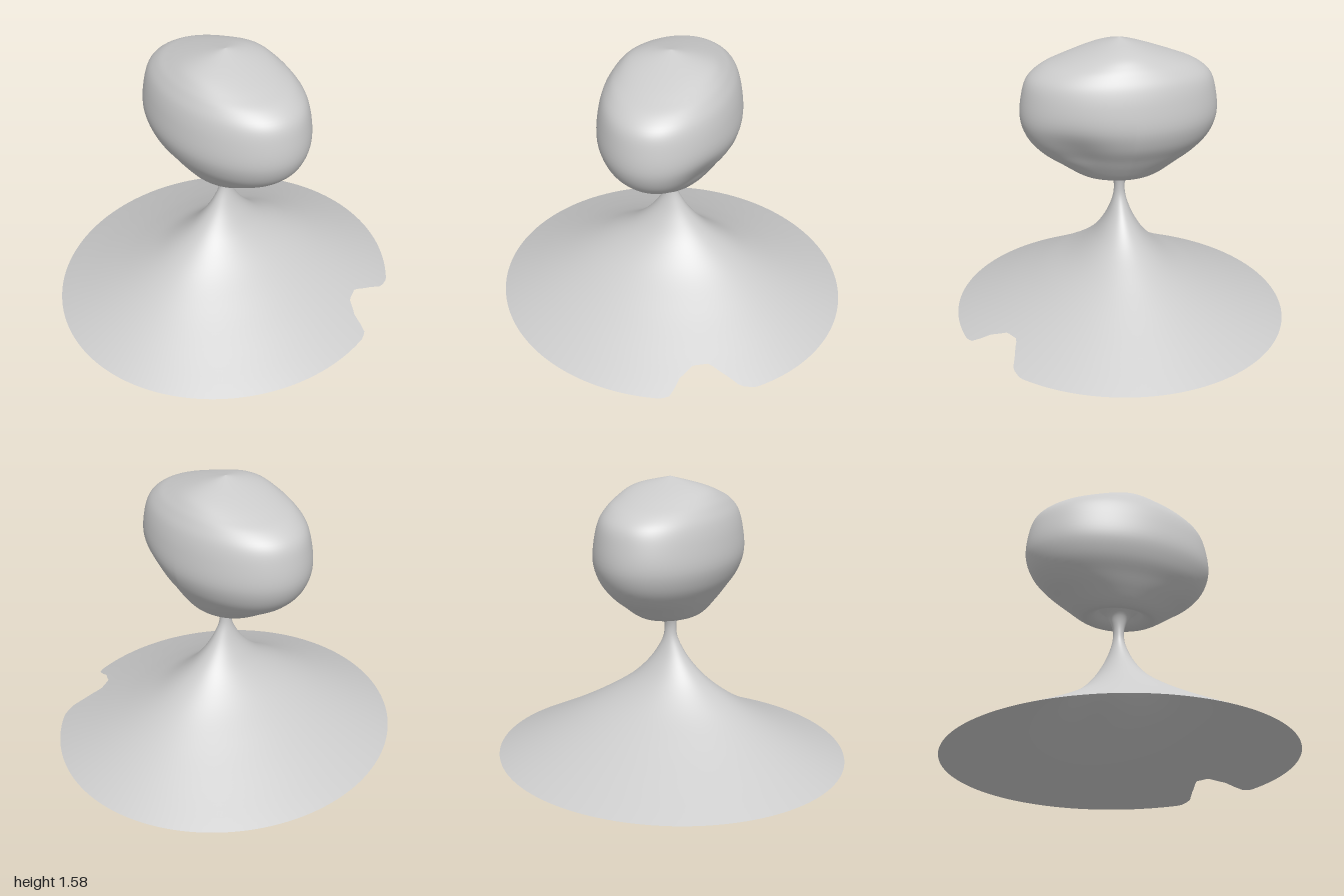
import * as THREE from 'three';

const SEG = 240;
const material = new THREE.MeshStandardMaterial({ color: 0xcccccc, side: THREE.DoubleSide });

// Smooth surface through elliptical rings [y, radiusX, radiusZ], listed bottom to top.
// warp(angle, point, t) may move each vertex.
function loft(name, rings, steps, warp) {
  const curve = new THREE.CatmullRomCurve3(
    rings.map(([y, rx, rz]) => new THREE.Vector3(rx, y, rz)), false, 'centripetal');
  const positions = [], index = [], p = new THREE.Vector3();
  for (let i = 0; i <= steps; i++) {
    for (let j = 0; j < SEG; j++) {
      const a = (j / SEG) * Math.PI * 2;
      const ring = curve.getPoint(i / steps);
      p.set(ring.x * Math.cos(a), ring.y, ring.z * Math.sin(a));
      warp(a, p, i / steps, curve);
      positions.push(p.x, p.y, p.z);
      if (i < steps) {
        const k = (j + 1) % SEG, b = i * SEG, t = b + SEG;
        index.push(b + j, t + j, b + k, b + k, t + j, t + k);
      }
    }
  }
  const geometry = new THREE.BufferGeometry();
  geometry.setAttribute('position', new THREE.Float32BufferAttribute(positions, 3));
  geometry.setIndex(index);
  geometry.computeVertexNormals();
  const mesh = new THREE.Mesh(geometry, material);
  mesh.name = name;
  return mesh;
}

// Bite out of the rim: [angle in degrees, remaining fraction of the radius]
const BITE = [[46, 1], [50.5, 0.975], [53.5, 0.924], [59.5, 0.848], [65.7, 0.85], [70.8, 0.911], [73, 0.985], [76, 1]];
function rimLimit(angle) {
  const d = THREE.MathUtils.radToDeg(angle);
  for (let i = 1; i < BITE.length; i++) {
    const [a0, r0] = BITE[i - 1], [a1, r1] = BITE[i];
    if (d >= a0 && d <= a1) return THREE.MathUtils.lerp(r0, r1, (d - a0) / (a1 - a0));
  }
  return 1;
}

export function createModel() {
  const group = new THREE.Group();
  group.name = 'stand';

  // Hollow flared foot running up into the thin neck
  const foot = [
    [0, 1, 0.93], [0.1, 0.8, 0.7], [0.21, 0.59, 0.47], [0.32, 0.4, 0.28], [0.43, 0.235, 0.16],
    [0.52, 0.14, 0.097], [0.6, 0.08, 0.058], [0.68, 0.04, 0.034], [0.74, 0.034, 0.03],
    [0.79, 0.04, 0.042], [0.83, 0.055, 0.06], [0.87, 0.09, 0.11],
  ];
  group.add(loft('footAndNeck', foot, 66, (a, p, t, curve) => {
    // Slide the outermost rings up the slope to the edge of the bite
    const limit = rimLimit(a), blend = 0.16;
    if (limit < 1 && t < blend) {
      const start = (1 - limit) / 0.2 / (foot.length - 1);
      const ring = curve.getPoint(start + (t / blend) * (blend - start));
      p.set(ring.x * Math.cos(a), ring.y, ring.z * Math.sin(a));
    }
  }));

  // Rounded oval head with a hollow underneath where the neck enters
  const head = [
    [0.87, 0.09, 0.11], [0.835, 0.12, 0.15], [0.82, 0.155, 0.195], [0.835, 0.185, 0.235],
    [0.9, 0.24, 0.335], [0.965, 0.285, 0.43], [1.05, 0.34, 0.505], [1.15, 0.37, 0.54],
    [1.28, 0.36, 0.53], [1.37, 0.337, 0.5], [1.43, 0.305, 0.43], [1.47, 0.275, 0.33],
    [1.51, 0.23, 0.21], [1.535, 0.17, 0.13], [1.555, 0.09, 0.065], [1.575, 0, 0],
  ];
  group.add(loft('head', head, 75, (a, p) => {
    // Shallow dent low on the front left flank
    const k = 0.11 * Math.exp(-(((a - 0.62) / 0.4) ** 2) - (((p.y - 1.0) / 0.13) ** 2));
    p.x *= 1 - k;
    p.z *= 1 - k;
  }));

  return group;
}
